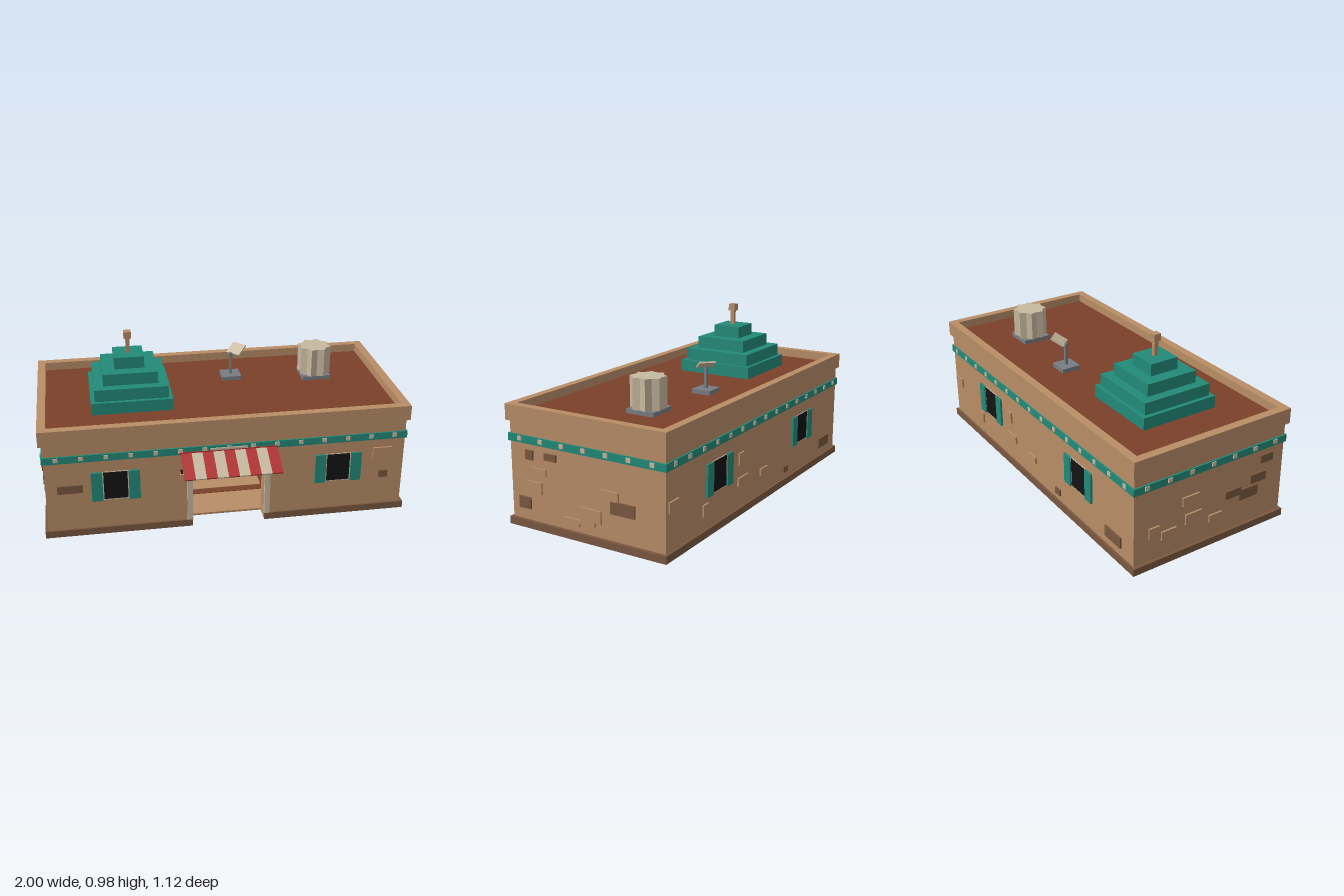
import * as THREE from 'three';

const mat = (name, color) => Object.assign(new THREE.MeshStandardMaterial({ color }), { name });

export function createModel() {
  const adobe = mat('adobe tan', 0xb88d67);
  const brown = mat('dark brown', 0x7b5840);
  const rust = mat('rust roof', 0x7b402a);
  const teal = mat('teal', 0x228a79);
  const stone = mat('pale stone', 0xc7b9a0);
  const red = mat('awning red', 0xb03030);
  const black = mat('window black', 0x141414);
  const slate = mat('slate grey', 0x787c83);

  const model = new THREE.Group();
  model.name = 'adobeShop';
  const CZ = -0.08; // middle of the building in z

  const mesh = (name, geo, m, parent = model) => {
    const o = new THREE.Mesh(geo, m);
    o.name = name;
    parent.add(o);
    return o;
  };
  // Box given by its limits on each axis
  const box = (name, m, x0, x1, y0, y1, z0, z1, parent) => {
    const o = mesh(name, new THREE.BoxGeometry(x1 - x0, y1 - y0, z1 - z0), m, parent);
    o.position.set((x0 + x1) / 2, (y0 + y1) / 2, (z0 + z1) / 2);
    return o;
  };
  // Rectangular ring: outer half sizes, wall thickness, height range, half width of door gap
  const ring = (name, m, hx, hz, t, y0, y1, gap = 0) => {
    const g = new THREE.Group();
    g.name = name;
    model.add(g);
    for (const s of [-1, 1]) {
      const xs = [s * hx, s * (hx - t)].sort((a, b) => a - b);
      box(name + 'Side', m, xs[0], xs[1], y0, y1, CZ - hz, CZ + hz, g);
    }
    box(name + 'Back', m, -hx + t, hx - t, y0, y1, CZ - hz, CZ - hz + t, g);
    if (gap) {
      box(name + 'FrontRight', m, -hx + t, -gap, y0, y1, CZ + hz - t, CZ + hz, g);
      box(name + 'FrontLeft', m, gap, hx - t, y0, y1, CZ + hz - t, CZ + hz, g);
    } else box(name + 'Front', m, -hx + t, hx - t, y0, y1, CZ + hz - t, CZ + hz, g);
  };

  // Floor slab notched at the doorway, skirting plinth, walls, parapet and roof
  const slab = new THREE.Shape([
    [-0.982, 0.545], [-0.982, -0.385], [-0.2, -0.385], [-0.2, -0.296],
    [0.2, -0.296], [0.2, -0.385], [0.982, -0.385], [0.982, 0.545],
  ].map(([x, z]) => new THREE.Vector2(x, z)));
  const floor = mesh('floor', new THREE.ExtrudeGeometry(slab, { depth: 0.012, bevelEnabled: false }), adobe);
  floor.rotation.x = -Math.PI / 2;
  ring('plinth', brown, 1, 0.477, 0.018, 0, 0.04, 0.2);
  ring('wall', adobe, 0.982, 0.465, 0.09, 0.012, 0.585, 0.2);
  box('doorLintel', adobe, -0.2, 0.2, 0.385, 0.585, 0.295, 0.385);
  ring('parapet', adobe, 1, 0.479, 0.045, 0.555, 0.64);
  box('roof', rust, -0.956, 0.956, 0.57, 0.593, -0.516, 0.356);
  box('rugBorder', rust, -0.3, 0.3, 0.012, 0.014, -0.36, 0.09);
  box('rugCentre', adobe, -0.25, 0.25, 0.014, 0.016, -0.31, 0.04);

  // Teal band with square studs on all four sides
  ring('band', teal, 0.991, 0.474, 0.02, 0.447, 0.487);
  for (const s of [-1, 1]) {
    for (let i = -7; i <= 7; i++) {
      const z = CZ + s * 0.474;
      box('stud', stone, i * 0.131 - 0.012, i * 0.131 + 0.012, 0.459, 0.482, z - 0.005, z + 0.005);
    }
    for (let i = -3; i <= 3; i++) {
      const z = CZ + i * 0.1325;
      box('stud', stone, s * 0.991 - 0.005, s * 0.991 + 0.005, 0.459, 0.482, z - 0.012, z + 0.012);
    }
  }

  // Windows with pale frame and shutters, local +z pointing outwards
  const addWindow = (x, z, turn) => {
    const g = new THREE.Group();
    g.name = 'window';
    g.position.set(x, 0.291, z);
    g.rotation.y = turn;
    model.add(g);
    box('windowFrame', stone, -0.07, 0.07, -0.084, 0.086, -0.004, 0.004, g);
    box('windowPane', black, -0.064, 0.064, -0.078, 0.083, 0, 0.006, g);
    for (const s of [-1, 1]) {
      const sh = box('shutter', teal, -0.03, 0.03, -0.087, 0.085, -0.006, 0.008, g);
      sh.position.x = s * 0.1;
      sh.position.z = 0.004;
    }
  };
  for (const s of [-1, 1]) {
    addWindow(s * 0.61, 0.385, 0);
    addWindow(s * 0.487, -0.545, Math.PI);
  }

  // Exposed bricks: [centre along wall, centre y, width, height, dark]
  const bricks = {
    front: [[-0.852, 0.288, 0.135, 0.046, 1], [0.857, 0.365, 0.104, 0.062, 0], [0.87, 0.23, 0.05, 0.042, 1]],
    back: [[0.92, 0.265, 0.085, 0.055, 0], [0.26, 0.31, 0.055, 0.065, 0], [0.627, 0.145, 0.05, 0.062, 0],
      [0.24, 0.185, 0.11, 0.045, 0], [0, 0.165, 0.08, 0.04, 0], [-0.276, 0.095, 0.05, 0.035, 1],
      [-0.81, 0.12, 0.14, 0.06, 1]],
    left: [[0.262, 0.39, 0.046, 0.05, 1], [0.129, 0.397, 0.073, 0.036, 1], [0.3, 0.131, 0.074, 0.062, 1],
      [-0.305, 0.213, 0.14, 0.064, 1], [0.21, 0.31, 0.104, 0.036, 0], [0.24, 0.222, 0.104, 0.063, 0],
      [-0.229, 0.269, 0.102, 0.048, 0], [0.007, 0.089, 0.104, 0.036, 0], [-0.107, 0.145, 0.139, 0.066, 0],
      [-0.092, 0.101, 0.095, 0.024, 0]],
    right: [[-0.43, 0.2, 0.06, 0.06, 0], [-0.34, 0.16, 0.09, 0.05, 0], [-0.21, 0.31, 0.1, 0.05, 0],
      [-0.19, 0.2, 0.1, 0.06, 0], [0.06, 0.25, 0.1, 0.045, 1], [0.16, 0.22, 0.12, 0.06, 1],
      [0.22, 0.29, 0.1, 0.05, 1], [0.27, 0.39, 0.08, 0.045, 1], [-0.05, 0.15, 0.08, 0.04, 0]],
  };
  for (const [side, list] of Object.entries(bricks)) {
    for (const [c, y, w, h, dark] of list) {
      const m = dark ? brown : adobe;
      const [a, b, y0, y1] = [c - w / 2, c + w / 2, y - h / 2, y + h / 2];
      if (side === 'front') box('brick', m, a, b, y0, y1, 0.375, 0.396);
      if (side === 'back') box('brick', m, a, b, y0, y1, -0.555, -0.535);
      if (side === 'left') box('brick', m, 0.97, 0.992, y0, y1, a, b);
      if (side === 'right') box('brick', m, -0.992, -0.97, y0, y1, a, b);
    }
  }

  // Doorway posts and lanterns
  for (const s of [-1, 1]) {
    const post = box('doorPost', stone, -0.015, 0.015, 0.04, 0.4, 0.38, 0.398);
    post.position.x = s * 0.214;
    const lantern = new THREE.Group();
    lantern.name = 'lantern';
    lantern.position.x = s * 0.257;
    model.add(lantern);
    box('lanternBody', adobe, -0.011, 0.011, 0.295, 0.342, 0.4, 0.424, lantern);
    box('lanternBracket', black, -0.005, 0.005, 0.342, 0.352, 0.385, 0.416, lantern);
  }

  // Striped sloping awning
  const awning = new THREE.Group();
  awning.name = 'awning';
  awning.position.set(0, 0.455, 0.393);
  awning.rotation.x = Math.atan2(0.071, 0.163);
  model.add(awning);
  for (let i = 0; i < 9; i++) {
    const x = -0.261 + i * 0.058;
    box('awningStripe', i % 2 ? stone : red, x, x + 0.058, -0.004, 0.004, 0, 0.18, awning);
  }
  box('awningRail', red, -0.265, 0.265, 0.447, 0.462, 0.385, 0.4);
  box('awningMount', stone, -0.1, 0.1, 0.462, 0.474, 0.385, 0.4);

  // Stepped rooftop pyramid with finial
  const pyramid = new THREE.Group();
  pyramid.name = 'steppedPyramid';
  pyramid.position.set(-0.488, 0, CZ);
  model.add(pyramid);
  let y = 0.59;
  for (const [h, top] of [[0.223, 0.66], [0.201, 0.727], [0.15, 0.794], [0.082, 0.86]]) {
    box('pyramidStep', teal, -h, h, y, top, -h, h, pyramid);
    y = top;
  }
  box('finialPost', adobe, -0.011, 0.011, 0.86, 0.943, -0.011, 0.011, pyramid);
  box('finialCap', adobe, -0.02, 0.02, 0.943, 0.982, -0.02, 0.02, pyramid);

  // Tilted rooftop panel on a stand
  box('panelBase', slate, 0.063, 0.173, 0.59, 0.617, -0.303, -0.194);
  box('panelStand', slate, 0.111, 0.127, 0.617, 0.745, -0.256, -0.24);
  const panel = mesh('panel', new THREE.BoxGeometry(0.09, 0.01, 0.082), stone);
  panel.position.set(0.155, 0.757, -0.27);
  panel.rotation.set(0.5, -Math.PI / 4, 0, 'YXZ');

  // Fluted tank, an eight-pointed star in plan, on a square base
  box('tankBase', slate, 0.527, 0.69, 0.59, 0.617, -0.287, -0.123);
  const star = new THREE.Shape();
  for (let i = 0; i < 16; i++) {
    const a = (i / 8) * Math.PI;
    const r = i % 2 ? 0.096 : 0.077;
    star[i ? 'lineTo' : 'moveTo'](r * Math.cos(a), r * Math.sin(a));
  }
  const tank = mesh('tank', new THREE.ExtrudeGeometry(star, { depth: 0.164, bevelEnabled: false }), stone);
  tank.rotation.x = -Math.PI / 2;
  tank.position.set(0.608, 0.616, -0.204);

  return model;
}
